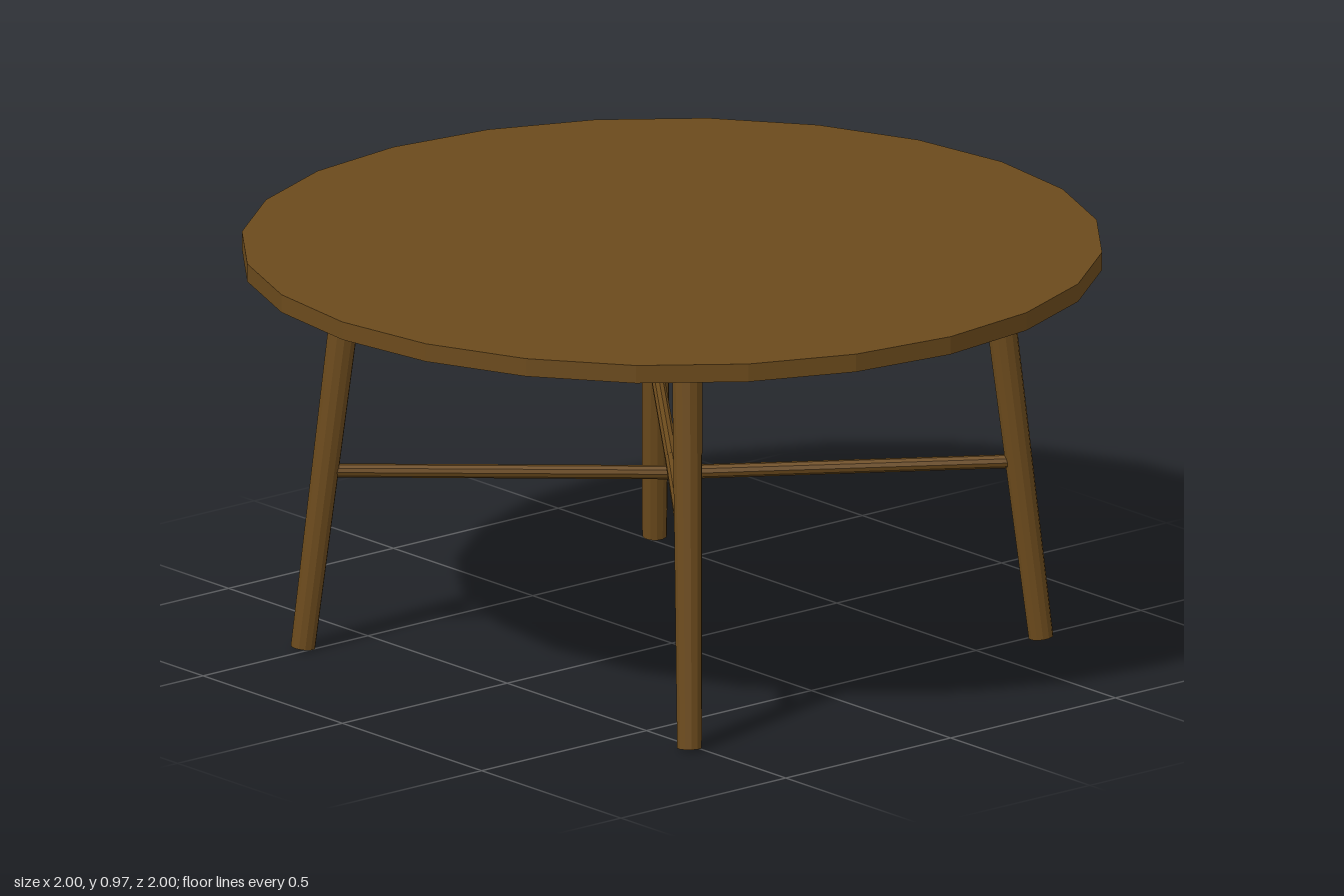
import * as THREE from 'three';

const wood = new THREE.MeshStandardMaterial({ color: 0x6b4a1c, flatShading: true });
const UP = new THREE.Vector3(0, 1, 0);

// Round bar between two points, with a radius at each end
function bar(name, from, to, rFrom, rTo, sides) {
  const dir = to.clone().sub(from);
  const mesh = new THREE.Mesh(new THREE.CylinderGeometry(rTo, rFrom, dir.length(), sides), wood);
  mesh.position.copy(from).add(to).multiplyScalar(0.5);
  mesh.quaternion.setFromUnitVectors(UP, dir.normalize());
  mesh.name = name;
  return mesh;
}

export function createModel() {
  const group = new THREE.Group();
  group.name = 'roundTable';

  // 24-sided table top
  const top = new THREE.Mesh(new THREE.CylinderGeometry(1, 1, 0.043, 24), wood);
  top.position.y = 0.95;
  top.name = 'tableTop';
  group.add(top);

  const footRadius = 0.856, topRadius = 0.744, legTop = 0.935;
  const stretcherY = 0.43;
  const stretcherRadius = THREE.MathUtils.lerp(footRadius, topRadius, stretcherY / legTop);

  for (let i = 0; i < 4; i++) {
    const angle = THREE.MathUtils.degToRad(37.5 + i * 90);
    const at = (r, y) => new THREE.Vector3(r * Math.cos(angle), y, r * Math.sin(angle));

    // Splayed leg, slightly thicker at the top
    group.add(bar('leg', at(footRadius, 0.004), at(topRadius, legTop), 0.029, 0.036, 12));

    // Half of a cross stretcher: one pair passes over the other in the middle
    const middle = stretcherY + (i % 2 ? 0.016 : -0.016);
    group.add(bar('stretcher', at(stretcherRadius, stretcherY), at(0, middle), 0.016, 0.0165, 10));
  }
  return group;
}
